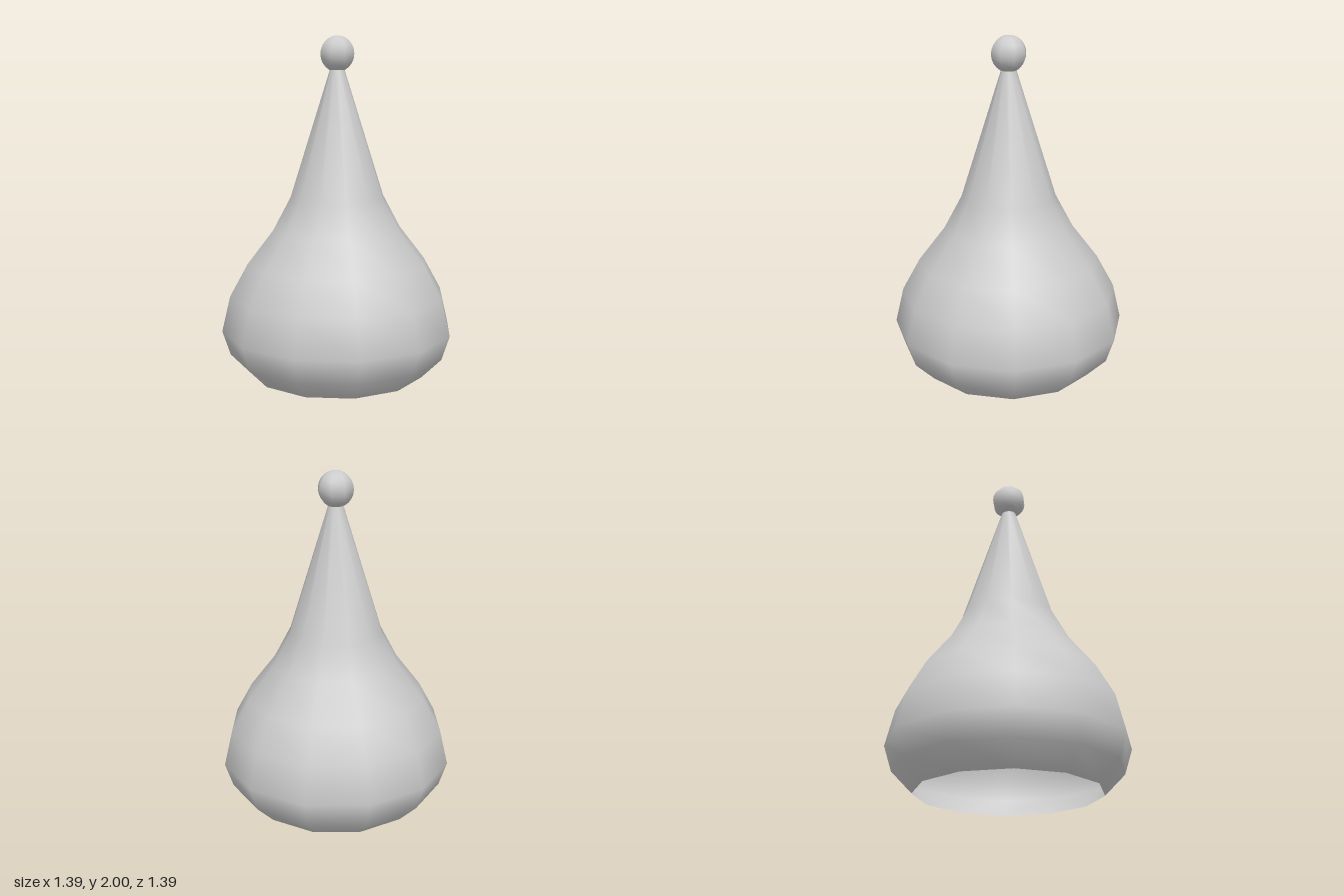
import * as THREE from 'three';

export function createModel() {
  const model = new THREE.Group();
  const material = new THREE.MeshStandardMaterial({ color: 0xcccccc });
  const shellMaterial = new THREE.MeshStandardMaterial({ color: 0xcccccc, side: THREE.DoubleSide });

  // Hollow twelve-sided body, open underneath, tapering into a tall cone
  const profile = [
    [0.53, 0], [0.648, 0.12], [0.695, 0.265], [0.645, 0.475],
    [0.54, 0.665], [0.385, 0.865], [0.28, 1.06], [0.045, 1.8],
  ].map(([r, y]) => new THREE.Vector2(r, y));
  const body = new THREE.Mesh(new THREE.LatheGeometry(profile, 12), shellMaterial);
  body.name = 'hollowBody';
  model.add(body);

  // Round tip
  const ball = new THREE.Mesh(new THREE.SphereGeometry(0.105, 8, 12), material);
  ball.name = 'tipBall';
  ball.position.y = 1.895;
  model.add(ball);

  return model;
}
